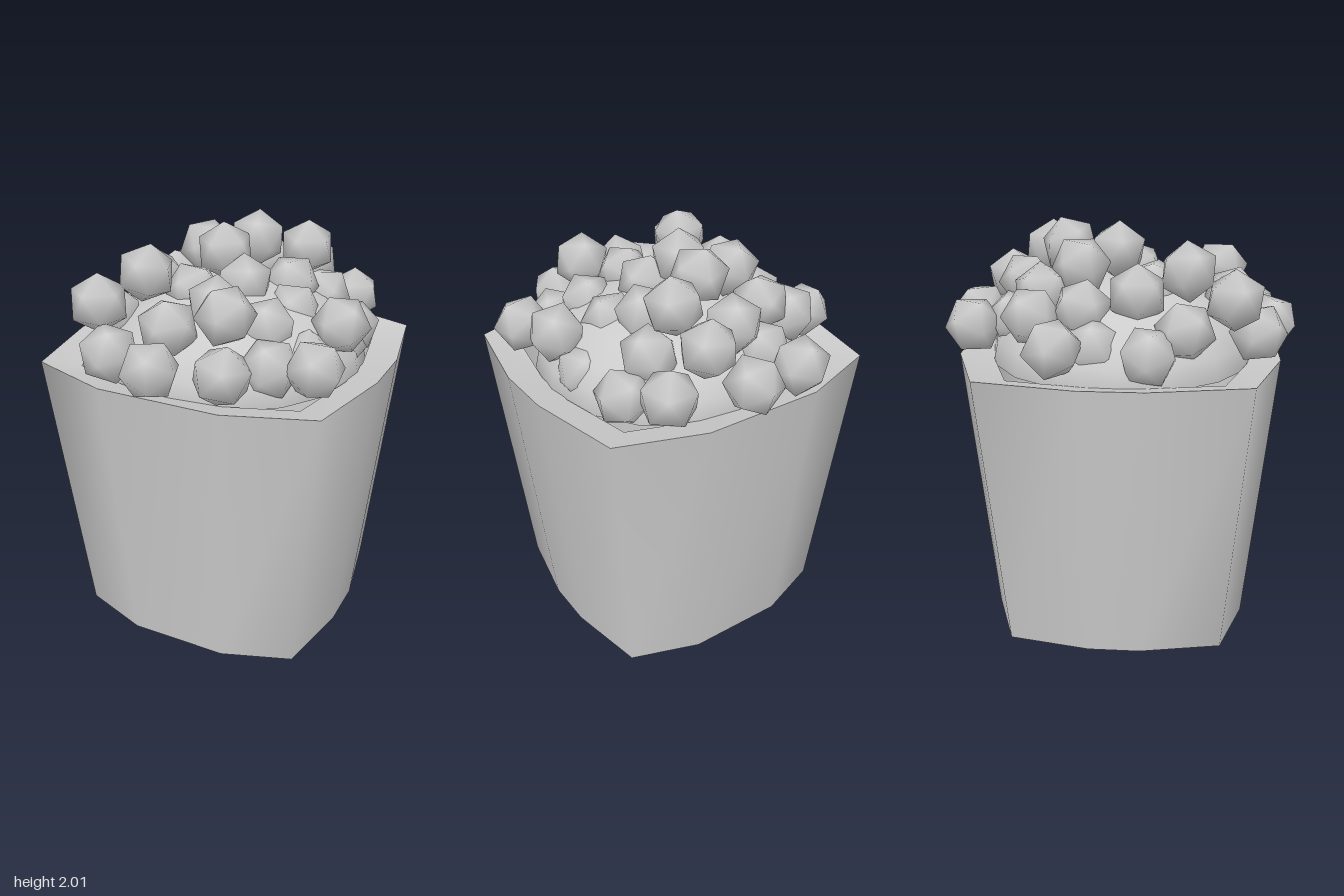
import * as THREE from 'three';

// Twelve-sided bucket outline (x, z) at the rim
const QUARTER = [[0.8, 0.15], [0.71, 0.62], [0.3, 0.76]];
const flip = (sx, sz) => QUARTER.map(([x, z]) => [x * sx, z * sz]);
const OUTLINE = [
  ...flip(1, 1), ...flip(-1, 1).reverse(), ...flip(-1, -1), ...flip(1, -1).reverse(),
];

// Skin a stack of rings [y, xScale, zScale] from the bottom up; smooth normals
function loft(rings) {
  const n = OUTLINE.length, pos = [], idx = [];
  for (const [y, sx, sz] of rings) for (const [x, z] of OUTLINE) pos.push(x * sx, y, z * sz);
  for (let r = 0; r < rings.length - 1; r++) {
    for (let i = 0; i < n; i++) {
      const a = r * n + i, b = r * n + (i + 1) % n;
      idx.push(a, a + n, b, b, a + n, b + n);
    }
  }
  const g = new THREE.BufferGeometry();
  g.setAttribute('position', new THREE.Float32BufferAttribute(pos, 3));
  g.setIndex(idx);
  g.computeVertexNormals();
  return g;
}

// Kernel centres [x, y, z], back to front
const KERNELS = [
  [-0.24, 1.53, -0.70], [0.04, 1.53, -0.72], [0.41, 1.53, -0.61], [0.18, 1.68, -0.57],
  [-0.17, 1.55, -0.51], [-0.03, 1.70, -0.47], [0.23, 1.82, -0.38], [0.34, 1.60, -0.35],
  [0.49, 1.45, -0.37], [-0.42, 1.62, -0.39], [-0.27, 1.70, -0.36], [-0.63, 1.53, -0.27],
  [0.01, 1.87, -0.26], [0.24, 1.70, -0.16], [-0.39, 1.65, -0.16], [-0.23, 1.82, -0.18],
  [0.52, 1.45, -0.08], [-0.50, 1.50, -0.10], [-0.05, 1.86, -0.02], [0.09, 1.74, 0.06],
  [0.32, 1.62, 0.01], [0.58, 1.61, 0.06], [-0.38, 1.72, 0.09], [-0.58, 1.49, 0.15],
  [-0.13, 1.70, 0.16], [0.06, 1.70, 0.30], [0.30, 1.62, 0.26], [0.47, 1.48, 0.21],
  [-0.49, 1.58, 0.31], [-0.29, 1.81, 0.32], [0.59, 1.52, 0.40], [0.39, 1.50, 0.43],
  [0.20, 1.73, 0.48], [-0.06, 1.65, 0.53], [-0.42, 1.71, 0.53], [-0.30, 1.53, 0.65],
  [-0.05, 1.52, 0.72], [0.26, 1.52, 0.64],
];

export function createModel() {
  const model = new THREE.Group();
  model.name = 'popcornBucket';
  const grey = new THREE.MeshStandardMaterial({ color: 0xcccccc });
  const greyOpen = new THREE.MeshStandardMaterial({ color: 0xcccccc, side: THREE.DoubleSide });
  const add = (name, geometry, material = grey, parent = model) => {
    const mesh = new THREE.Mesh(geometry, material);
    mesh.name = name;
    parent.add(mesh);
    return mesh;
  };

  // Tapered wall
  add('bucketWall', loft([[0, 0.815, 0.84], [1.4, 1, 1]]), greyOpen);

  // Flat base, facing down
  const base = new THREE.Shape(OUTLINE.map(([x, z]) => new THREE.Vector2(x * 0.815, z * 0.84)));
  add('bucketBase', new THREE.ShapeGeometry(base).rotateX(Math.PI / 2));

  // Shallow ledge between rim and filling
  add('innerLedge', loft([[1.4, 1, 1], [1.36, 0.8, 0.8]]), greyOpen);

  // Mound beneath the kernels
  const mound = new THREE.SphereGeometry(1, 16, 6, 0, Math.PI * 2, 0, Math.PI / 2);
  mound.scale(0.66, 0.4, 0.66).translate(0, 1.34, 0);
  add('fillingMound', mound);

  // Faceted kernels with smooth normals, each turned differently
  const kernel = new THREE.IcosahedronGeometry(0.142, 0);
  kernel.setAttribute('normal', kernel.attributes.position.clone());
  kernel.normalizeNormals();
  let seed = 7;
  const rand = () => (seed = (seed * 16807) % 2147483647) / 2147483647;
  const kernels = new THREE.Group();
  kernels.name = 'kernels';
  model.add(kernels);
  for (const centre of KERNELS) {
    const mesh = add('kernel', kernel, grey, kernels);
    mesh.position.set(...centre);
    mesh.rotation.set(rand() * 6.28, rand() * 6.28, rand() * 6.28);
  }
  return model;
}
